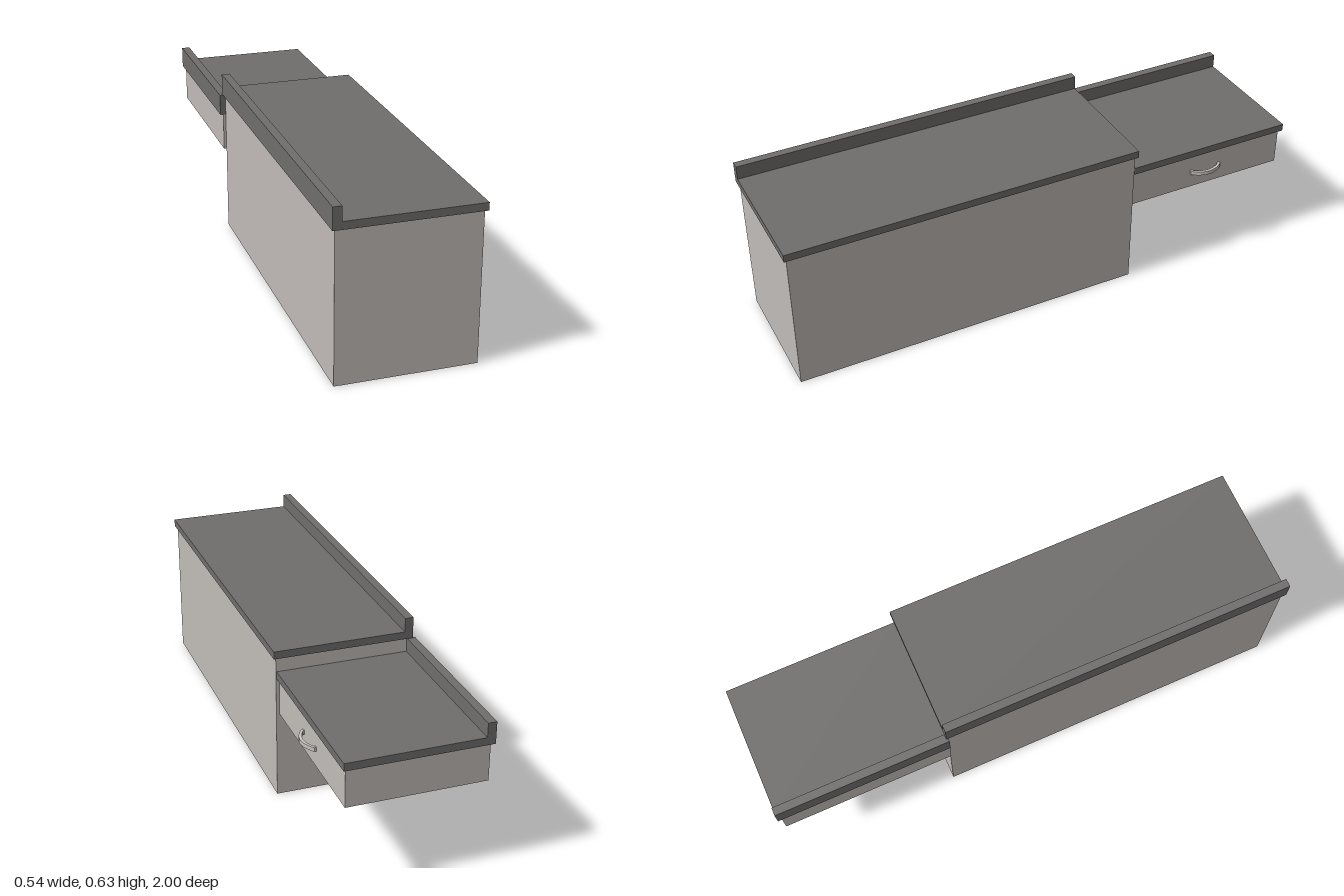
import * as THREE from 'three';

export function createModel() {
  const model = new THREE.Group();
  const cabinetMat = new THREE.MeshStandardMaterial({ color: 0xc1bcb8 });
  cabinetMat.name = 'warm grey cabinet';
  const counterMat = new THREE.MeshStandardMaterial({ color: 0x706e6d });
  counterMat.name = 'dark grey counter';
  const handleMat = new THREE.MeshStandardMaterial({ color: 0xc8c6c3 });
  handleMat.name = 'light grey handle';

  // Box given by its limits on each axis
  function box(parent, name, material, [x0, x1], [y0, y1], [z0, z1]) {
    const mesh = new THREE.Mesh(new THREE.BoxGeometry(x1 - x0, y1 - y0, z1 - z0), material);
    mesh.position.set((x0 + x1) / 2, (y0 + y1) / 2, (z0 + z1) / 2);
    mesh.name = name;
    parent.add(mesh);
  }

  // Worktop with an upstand along its right edge, extruded as one L profile
  function counter(parent, name, [x0, x1], y, [z0, z1]) {
    const slab = 0.028, upstand = 0.08, wall = 0.031;
    const profile = new THREE.Shape([
      [x0, y], [x1, y], [x1, y + slab], [x0 + wall, y + slab],
      [x0 + wall, y + upstand], [x0, y + upstand],
    ].map(([px, py]) => new THREE.Vector2(px, py)));
    const geometry = new THREE.ExtrudeGeometry(profile, { depth: z1 - z0, bevelEnabled: false });
    geometry.translate(0, 0, z0);
    const mesh = new THREE.Mesh(geometry, counterMat);
    mesh.name = name;
    parent.add(mesh);
  }

  // Tall base unit
  const tall = new THREE.Group();
  tall.name = 'tallUnit';
  box(tall, 'tallCabinet', cabinetMat, [-0.25, 0.247], [0, 0.547], [-0.34, 0.99]);
  counter(tall, 'tallCounter', [-0.26, 0.257], 0.547, [-0.35, 1]);
  model.add(tall);

  // Low drawer unit hung behind it
  const low = new THREE.Group();
  low.name = 'drawerUnit';
  box(low, 'drawerCabinet', cabinetMat, [-0.26, 0.235], [0.325, 0.466], [-0.987, -0.34]);
  counter(low, 'drawerCounter', [-0.271, 0.245], 0.466, [-1, -0.342]);
  model.add(low);

  // Bowed handle: flat arched band with short straight feet
  const half = 0.065, thick = 0.011, foot = 0.008, reach = 0.035;
  const bow = new THREE.Shape();
  bow.moveTo(0, -half);
  bow.lineTo(foot, -half);
  bow.quadraticCurveTo(2 * reach - foot, 0, foot, half);
  bow.lineTo(0, half);
  bow.lineTo(0, half - thick);
  bow.lineTo(foot - 0.003, half - thick);
  bow.quadraticCurveTo(2 * (reach - thick) - foot + 0.003, 0, foot - 0.003, -half + thick);
  bow.lineTo(0, -half + thick);
  const handleGeo = new THREE.ExtrudeGeometry(bow, { depth: 0.015, bevelEnabled: false, curveSegments: 10 });
  handleGeo.rotateX(Math.PI / 2);
  const handle = new THREE.Mesh(handleGeo, handleMat);
  handle.name = 'drawerHandle';
  handle.position.set(0.235, 0.4, -0.66);
  low.add(handle);

  return model;
}
